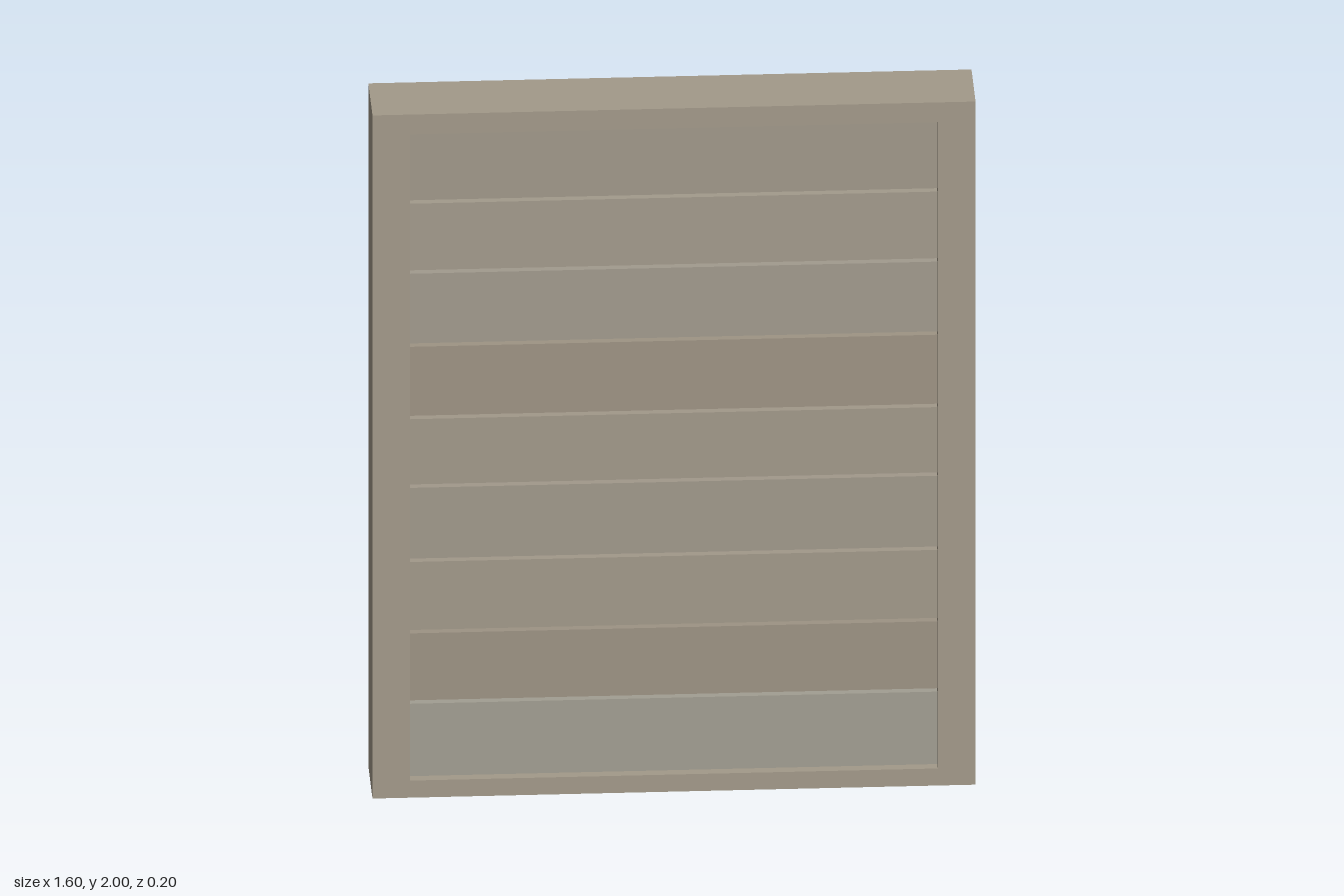
import * as THREE from 'three';

export function createModel() {
  const model = new THREE.Group();
  model.name = 'plankPanel';

  const addBox = (name, w, h, d, x, y, color) => {
    const mesh = new THREE.Mesh(
      new THREE.BoxGeometry(w, h, d),
      new THREE.MeshStandardMaterial({ color })
    );
    mesh.name = name;
    mesh.position.set(x, y, 0);
    model.add(mesh);
  };

  // Outer frame: full-height stiles with rails between them
  const frameColor = 0xa39a8a;
  const depth = 0.2, bottom = 0.05, top = 1.942;
  addBox('leftStile', 0.1, 2, depth, 0.75, 1, frameColor);
  addBox('rightStile', 0.1, 2, depth, -0.75, 1, frameColor);
  addBox('bottomRail', 1.4, bottom, depth, 0, bottom / 2, frameColor);
  addBox('topRail', 1.4, 2 - top, depth, 0, (2 + top) / 2, frameColor);

  // Recessed horizontal planks, separated by narrow open gaps
  const gap = 0.01;
  const gaps = [0.267, 0.473, 0.682, 0.899, 1.1, 1.312, 1.526, 1.731];
  const edges = [bottom - gap / 2, ...gaps, top + gap / 2];
  const colors = [
    0xa29e92, 0x9d9384, 0xa2998a, 0xa1998b, 0xa2998a,
    0x9e9484, 0xa29b8e, 0xa39b8c, 0xa1988a,
  ];
  colors.forEach((color, i) => {
    const low = edges[i] + gap / 2, high = edges[i + 1] - gap / 2;
    addBox(`plank${i + 1}`, 1.4, high - low, 0.145, 0, (low + high) / 2, color);
  });

  return model;
}
